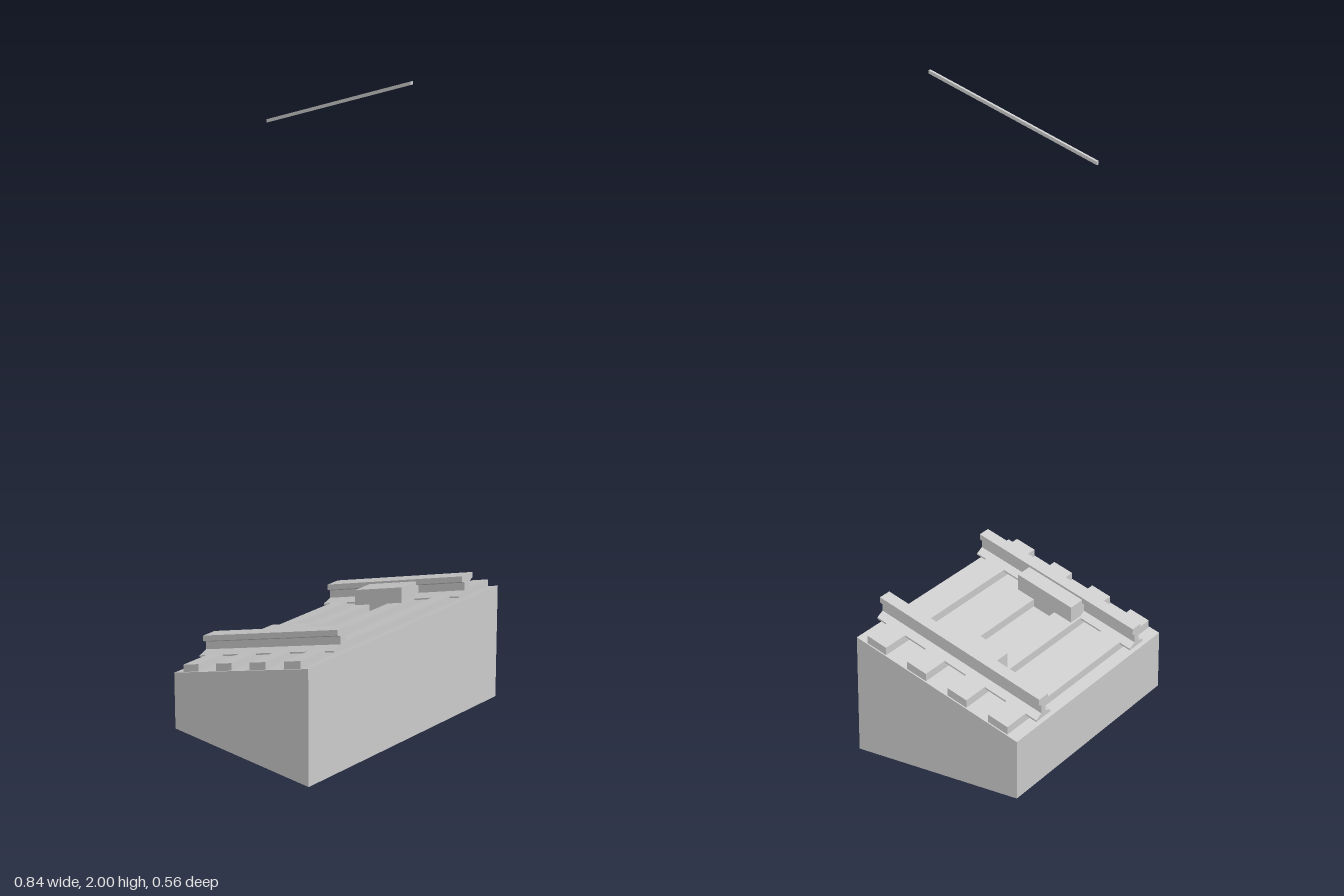
import * as THREE from 'three';

const SLOPE = 0.335;
const LENGTH = 0.56;
const material = new THREE.MeshStandardMaterial({ color: 0xcccccc, flatShading: true });

// Tilts a part along the ramp, keeping its ends vertical and the ground level flat
function incline(geometry) {
  const p = geometry.attributes.position;
  for (let i = 0; i < p.count; i++) {
    if (p.getY(i) > 0.001) p.setY(i, p.getY(i) + SLOPE * p.getZ(i));
  }
  geometry.computeVertexNormals();
  return geometry;
}

// Inclined box from its extents, heights taken at z = 0
function rampBox(name, x0, x1, y0, y1, z0, z1) {
  const g = new THREE.BoxGeometry(x1 - x0, y1 - y0, z1 - z0);
  g.translate((x0 + x1) / 2, (y0 + y1) / 2, (z0 + z1) / 2);
  const mesh = new THREE.Mesh(incline(g), material);
  mesh.name = name;
  return mesh;
}

// Rail with sloped foot flanges, narrow web and wide head
function rail(name, x) {
  const half = [
    [0.04, 0.296], [0.04, 0.301], [0.012, 0.312],
    [0.012, 0.337], [0.024, 0.343], [0.024, 0.361],
  ];
  const outline = [...half, ...half.map(([a, y]) => [-a, y]).reverse()];
  const shape = new THREE.Shape(outline.map(([a, y]) => new THREE.Vector2(a, y)));
  const g = new THREE.ExtrudeGeometry(shape, { depth: LENGTH, bevelEnabled: false });
  g.translate(x, 0, -LENGTH / 2);
  const mesh = new THREE.Mesh(incline(g), material);
  mesh.name = name;
  return mesh;
}

export function createModel() {
  const group = new THREE.Group();
  group.name = 'inclinedTrack';
  const end = LENGTH / 2;

  // Wedge-shaped bed
  group.add(rampBox('trackBed', -0.42, 0.42, 0, 0.279, -end, end));

  // Sleepers
  for (let i = 0; i < 4; i++) {
    const z = (i - 1.5) * 0.141;
    group.add(rampBox('sleeper', -0.415, 0.415, 0.274, 0.303, z - 0.033, z + 0.033));
  }

  // Rails and the block against the inside of each
  for (const side of [1, -1]) {
    const label = side > 0 ? 'left' : 'right';
    group.add(rail(label + 'Rail', side * 0.274));
    const a = side * 0.184, b = side * 0.264;
    group.add(rampBox(label + 'Block', Math.min(a, b), Math.max(a, b), 0.274, 0.354, -0.098, 0.095));
  }

  // Overhead wire
  group.add(rampBox('overheadWire', -0.005, 0.005, 1.896, 1.906, -end, end));

  return group;
}
